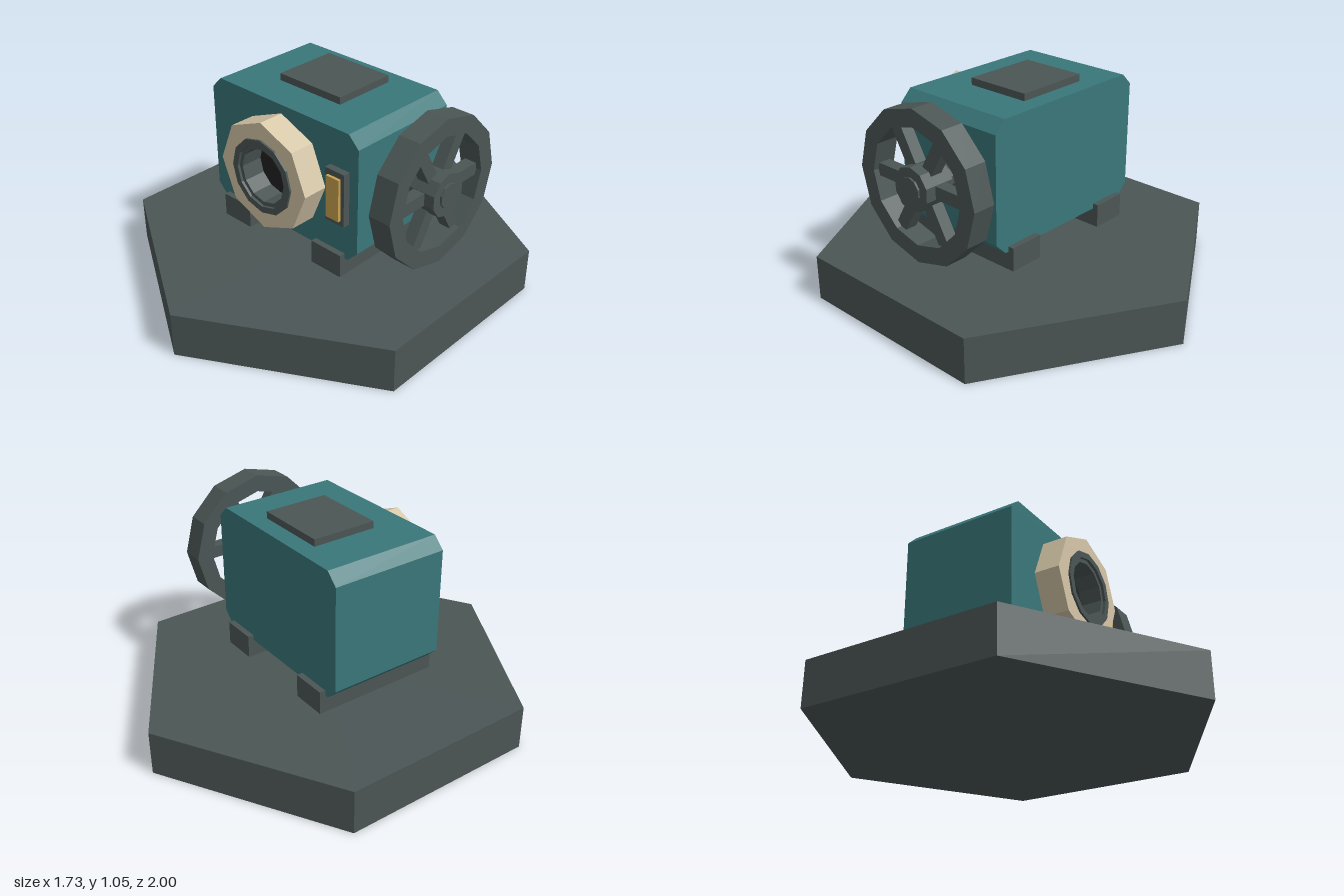
import * as THREE from 'three';

const mat = (name, color) => {
  const m = new THREE.MeshStandardMaterial({ color, flatShading: true });
  m.name = name;
  return m;
};

export function createModel() {
  const iron = mat('dark iron', 0x4b5655);
  const teal = mat('teal paint', 0x3a777a);
  const cream = mat('cream paint', 0xd6c7a8);
  const amber = mat('amber glass', 0xc9a24e);
  const black = mat('bore black', 0x222222);

  const model = new THREE.Group();
  model.name = 'pump';

  const add = (parent, name, geometry, material, x = 0, y = 0, z = 0) => {
    const mesh = new THREE.Mesh(geometry, material);
    mesh.name = name;
    mesh.position.set(x, y, z);
    parent.add(mesh);
    return mesh;
  };
  // Box given by its limits on each axis
  const box = (parent, name, material, [x0, x1], [y0, y1], [z0, z1]) =>
    add(parent, name, new THREE.BoxGeometry(x1 - x0, y1 - y0, z1 - z0), material,
      (x0 + x1) / 2, (y0 + y1) / 2, (z0 + z1) / 2);
  const polygon = (r, n) => Array.from({ length: n }, (_, i) => {
    const a = (i / n) * Math.PI * 2;
    return new THREE.Vector2(Math.cos(a) * r, Math.sin(a) * r);
  });
  // Polygonal ring extruded along z from 0 to depth
  const ring = (outer, inner, sides, holeSides, depth) => {
    const shape = new THREE.Shape(polygon(outer, sides));
    shape.holes.push(new THREE.Path(polygon(inner, holeSides)));
    return new THREE.ExtrudeGeometry(shape, { depth, bevelEnabled: false });
  };

  // Hexagonal plinth
  add(model, 'base', new THREE.CylinderGeometry(1, 1, 0.225, 6), iron, 0, 0.1125, 0);

  // Housing with chamfered long edges
  const w = 0.465, c = 0.057, y0 = 0.36, y1 = 1.0;
  const outline = new THREE.Shape([
    [-w + c, y0], [w - c, y0], [w, y0 + c], [w, y1 - c],
    [w - c, y1], [-w + c, y1], [-w, y1 - c], [-w, y0 + c],
  ].map(([x, y]) => new THREE.Vector2(x, y)));
  add(model, 'housing',
    new THREE.ExtrudeGeometry(outline, { depth: 0.6, bevelEnabled: false }), teal, 0, 0, -0.3);

  // Skids and top cover
  for (const s of [-1, 1]) {
    box(model, s > 0 ? 'leftSkid' : 'rightSkid', iron,
      [s * 0.3 - 0.09, s * 0.3 + 0.09], [0.27, 0.387], [-0.33, 0.33]);
  }
  box(model, 'topCover', iron, [-0.19, 0.19], [0.99, 1.035], [-0.21, 0.12]);

  // Front port: octagonal flange, stepped collar and dark bore
  const port = new THREE.Group();
  port.name = 'port';
  port.position.set(0, 0.685, 0.3);
  model.add(port);
  add(port, 'flange', ring(0.272, 0.165, 8, 12, 0.128), cream);
  const collarProfile = [
    [0.135, 0.012], [0.135, 0.125], [0.155, 0.125], [0.155, 0.138], [0.187, 0.138], [0.187, 0.12],
  ].map(([r, h]) => new THREE.Vector2(r, h)).reverse();
  const collarMaterial = iron.clone();
  collarMaterial.side = THREE.DoubleSide;
  const collar = new THREE.LatheGeometry(collarProfile, 12).rotateX(Math.PI / 2);
  add(port, 'collar', collar, collarMaterial);
  add(port, 'bore', new THREE.CircleGeometry(0.136, 12), black, 0, 0, 0.014);

  // Sight glass beside the port
  box(model, 'gaugeFrame', iron, [0.302, 0.415], [0.553, 0.818], [0.29, 0.335]);
  box(model, 'gaugeGlass', amber, [0.321, 0.396], [0.58, 0.79], [0.33, 0.35]);

  // Flywheel, modelled around z and turned to face +x
  const wheel = new THREE.Group();
  wheel.name = 'flywheel';
  wheel.position.set(0.6225, 0.685, -0.022);
  wheel.rotation.y = Math.PI / 2;
  model.add(wheel);
  add(wheel, 'rim', ring(0.365, 0.28, 12, 12, 0.115), iron, 0, 0, -0.0575);
  const rod = (name, r, sides, from, to) =>
    add(wheel, name, new THREE.CylinderGeometry(r, r, to - from, sides).rotateX(Math.PI / 2),
      iron, 0, 0, (from + to) / 2);
  rod('hub', 0.106, 10, -0.07, 0.082);
  rod('shaft', 0.06, 10, -0.17, 0.092);
  for (let i = 0; i < 6; i++) {
    const spoke = new THREE.BoxGeometry(0.22, 0.062, 0.06).translate(0.185, 0, 0);
    add(wheel, 'spoke', spoke.rotateZ((i * Math.PI) / 3), iron);
  }

  return model;
}
